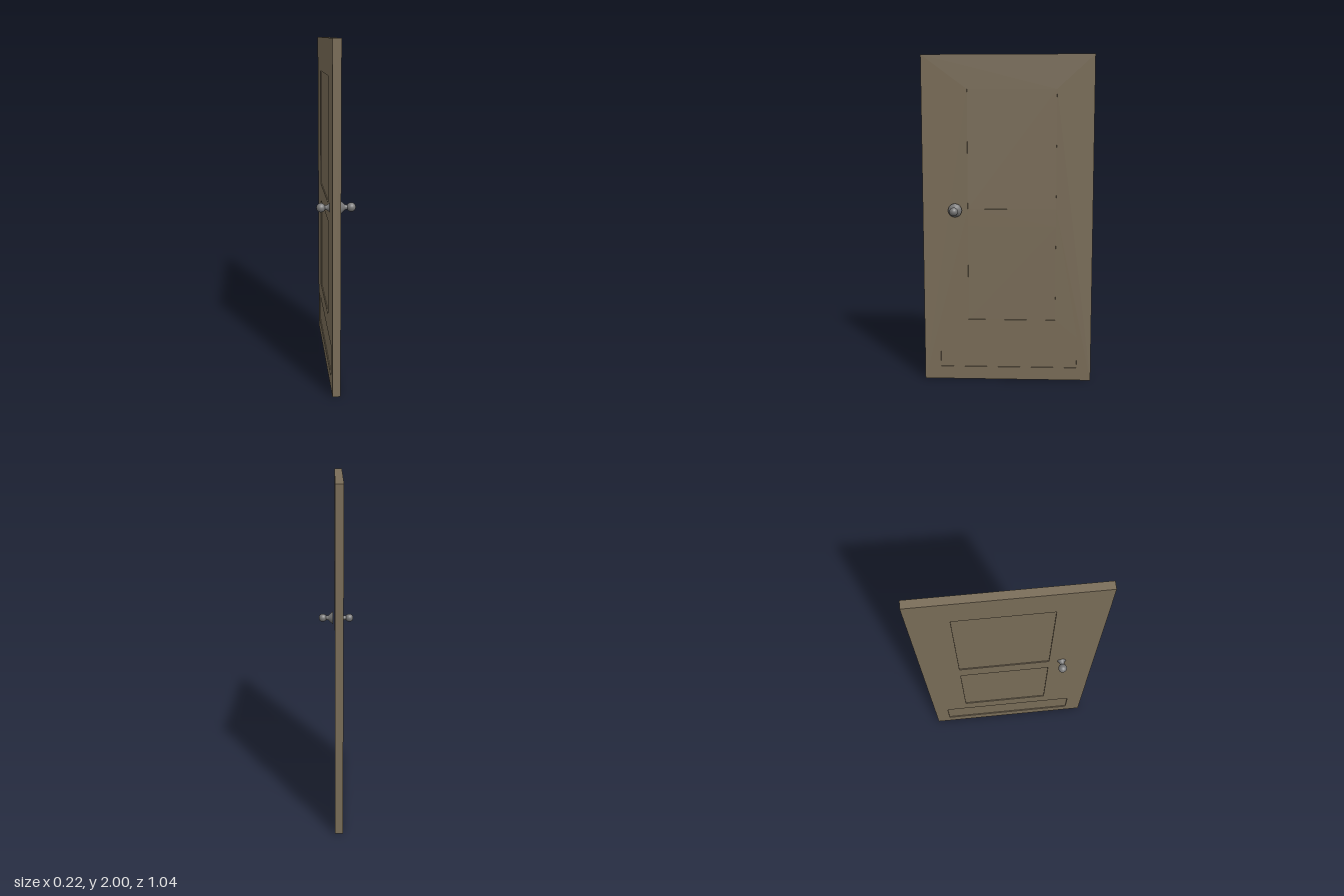
import * as THREE from 'three';

const wood = new THREE.MeshStandardMaterial({ color: 0x7a6d58 });
const metal = new THREE.MeshStandardMaterial({ color: 0x777777, side: THREE.DoubleSide });

const FRONT = 0.008, THICK = 0.046, HALF = 0.518, RECESS = 0.006;

// Sunken panels: z from, z to, y from, y to
const PANELS = [
  [-0.295, 0.243, 1.077, 1.797],
  [-0.295, 0.243, 0.385, 0.969],
  [-0.43, 0.418, 0.08, 0.273],
];

function add(parent, name, geometry, material) {
  const mesh = new THREE.Mesh(geometry, material);
  mesh.name = name;
  parent.add(mesh);
  return mesh;
}

function outline(path, z0, z1, y0, y1) {
  path.moveTo(z0, y0).lineTo(z1, y0).lineTo(z1, y1).lineTo(z0, y1).closePath();
  return path;
}

// Door leaf: a frame with openings, closed by thinner panels
function createLeaf() {
  const leaf = new THREE.Group();
  leaf.name = 'doorLeaf';
  const shape = outline(new THREE.Shape(), -HALF, HALF, 0, 2);
  for (const p of PANELS) shape.holes.push(outline(new THREE.Path(), ...p));
  const frame = new THREE.ExtrudeGeometry(shape, { depth: THICK, bevelEnabled: false });
  frame.rotateY(-Math.PI / 2).translate(FRONT, 0, 0);
  add(leaf, 'doorFrame', frame, wood);
  for (const [z0, z1, y0, y1] of PANELS) {
    const panel = add(leaf, 'recessedPanel',
      new THREE.BoxGeometry(THICK - 2 * RECESS, y1 - y0, z1 - z0), wood);
    panel.position.set(FRONT - THICK / 2, (y0 + y1) / 2, (z0 + z1) / 2);
  }
  return leaf;
}

// Knob: flared collar narrowing to a neck, then a ball, built along +y
function createKnob(name) {
  const knob = new THREE.Group();
  knob.name = name;
  const flare = [[0.042, 0.019], [0.041, 0.022], [0.033, 0.031], [0.025, 0.039],
    [0.018, 0.047], [0.014, 0.054], [0.013, 0.066]].map(p => new THREE.Vector2(...p));
  add(knob, 'collar', new THREE.LatheGeometry(flare, 32), metal);
  const back = add(knob, 'collarBack', new THREE.CircleGeometry(0.042, 32), metal);
  back.rotation.x = Math.PI / 2;
  back.position.y = 0.019;
  const ball = add(knob, 'ball', new THREE.SphereGeometry(0.026, 32, 16), metal);
  ball.position.y = 0.086;
  return knob;
}

export function createModel() {
  const door = new THREE.Group();
  door.name = 'door';
  door.add(createLeaf());
  for (const side of [1, -1]) {
    const knob = createKnob(side > 0 ? 'leftKnob' : 'rightKnob');
    knob.rotation.z = -side * Math.PI / 2;
    knob.position.set(0, 1.07, 0.32);
    door.add(knob);
  }
  return door;
}
